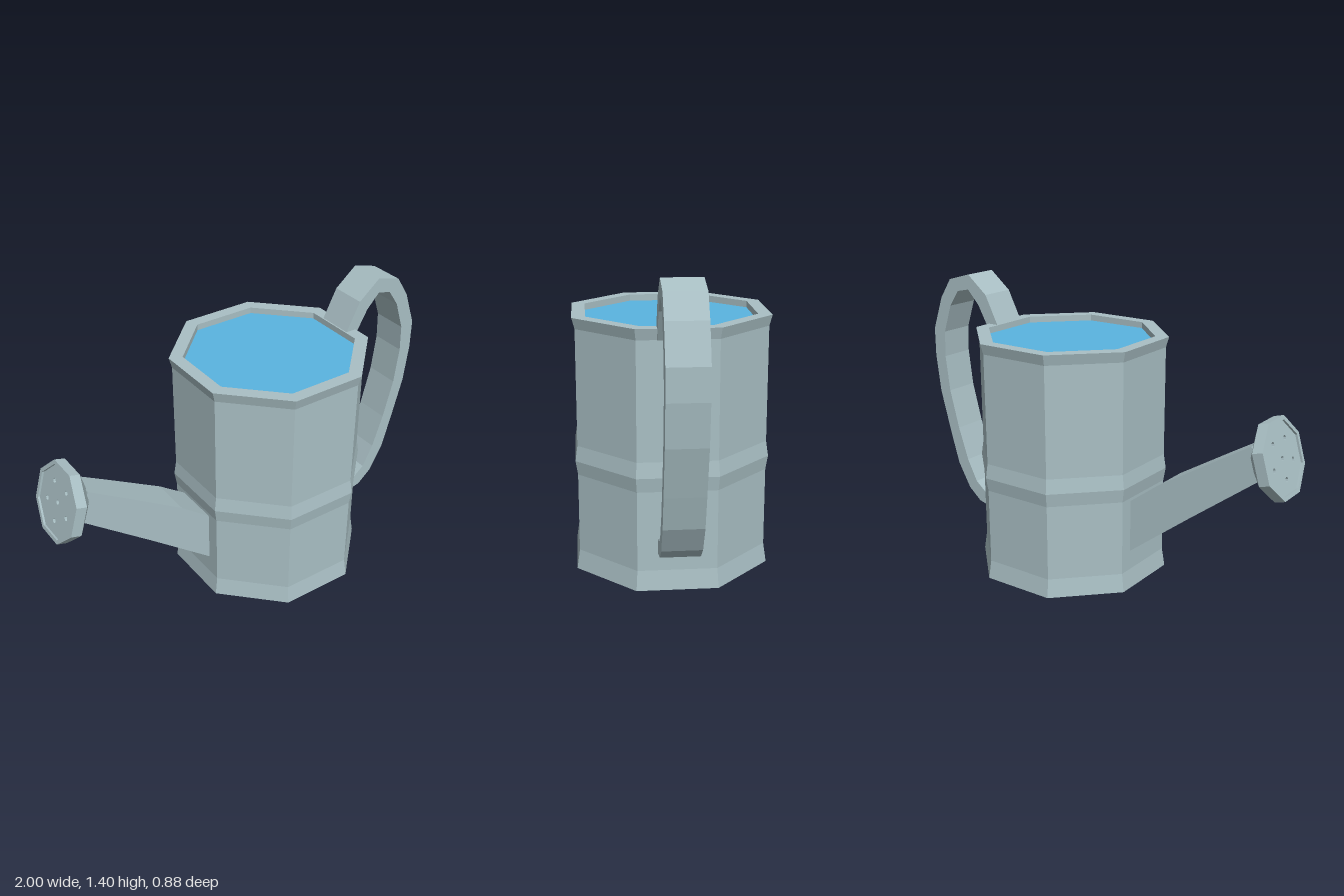
import * as THREE from 'three';

const metal = new THREE.MeshStandardMaterial({ color: 0xa9bfc4, flatShading: true, side: THREE.DoubleSide });
const waterBlue = new THREE.MeshStandardMaterial({ color: 0x5ab4e0, flatShading: true });

const toV2 = ([x, y]) => new THREE.Vector2(x, y);

// Eight-sided turned form; the profile gives [distance to the flats, height]
function octagonLathe(profile) {
  const k = 1 / Math.cos(Math.PI / 8);
  return new THREE.LatheGeometry(profile.map(([a, y]) => new THREE.Vector2(a * k, y)), 8, Math.PI / 8);
}

function octagonShape(apothem) {
  const r = apothem / Math.cos(Math.PI / 8);
  const pts = [];
  for (let i = 0; i < 8; i++) {
    const t = Math.PI / 8 + (i * Math.PI) / 4;
    pts.push(new THREE.Vector2(r * Math.cos(t), r * Math.sin(t)));
  }
  return new THREE.Shape(pts);
}

// Side profile extruded symmetrically about z = 0
function slab(points, halfWidth) {
  return new THREE.ExtrudeGeometry(new THREE.Shape(points.map(toV2)), { depth: halfWidth * 2, bevelEnabled: false })
    .translate(0, 0, -halfWidth);
}

function part(name, geometry, material = metal) {
  const mesh = new THREE.Mesh(geometry, material);
  mesh.name = name;
  return mesh;
}

export function createModel() {
  const model = new THREE.Group();
  model.name = 'wateringCan';

  // Body with flared foot, middle ridge and thick rim
  const body = part('body', octagonLathe([
    [0, 0], [0.438, 0], [0.425, 0.09], [0.425, 0.455], [0.435, 0.52], [0.425, 0.59],
    [0.425, 1.12], [0.438, 1.17], [0.378, 1.17], [0.378, 1.1],
  ]));
  body.position.x = 0.185;
  model.add(body);

  const water = part('water', new THREE.ShapeGeometry(octagonShape(0.378)).rotateX(-Math.PI / 2), waterBlue);
  water.position.set(0.185, 1.14, 0);
  model.add(water);

  // Handle: flat strip bent into a loop, outer edge then inner edge
  model.add(part('handle', slab([
    [0.57, 1.17], [0.64, 1.31], [0.75, 1.4], [0.875, 1.365], [0.94, 1.265], [0.998, 1.1], [0.998, 0.96],
    [0.975, 0.77], [0.915, 0.545], [0.87, 0.39], [0.8, 0.265], [0.73, 0.205], [0.625, 0.178],
    [0.625, 0.248], [0.695, 0.265], [0.75, 0.31], [0.805, 0.42], [0.86, 0.585], [0.91, 0.78],
    [0.932, 0.96], [0.927, 1.09], [0.88, 1.23], [0.825, 1.31], [0.755, 1.325], [0.69, 1.255], [0.615, 1.12],
  ], 0.0875)));

  // Spout: extruded side profile, narrowed towards the tip
  const spout = slab([
    [-0.22, 0.17], [-0.24, 0.185], [-0.55, 0.424], [-0.87, 0.665],
    [-0.83, 0.818], [-0.65, 0.71], [-0.38, 0.545], [-0.24, 0.44], [-0.22, 0.425],
  ], 1);
  const p = spout.attributes.position;
  for (let i = 0; i < p.count; i++) {
    p.setZ(i, p.getZ(i) * (0.11 + (p.getX(i) + 0.24) * 0.066));
  }
  spout.computeVertexNormals();
  model.add(part('spout', spout));

  // Sprinkler head, tilted at the end of the spout
  const head = new THREE.Group();
  head.name = 'sprinklerHead';
  head.position.set(-0.953, 0.77, 0);
  head.rotation.z = 1.29;
  head.add(part('sprinklerShell', octagonLathe([
    [0, -0.115], [0.08, -0.115], [0.173, -0.05], [0.173, 0], [0.155, 0], [0.155, -0.03], [0, -0.03],
  ])));

  // Perforated face: one centre hole and five around it
  const face = octagonShape(0.155);
  for (let i = 0; i < 6; i++) {
    const r = i ? 0.095 : 0;
    const t = (i * Math.PI * 2) / 5 + Math.PI;
    const hole = new THREE.Path();
    hole.absarc(r * Math.cos(t), r * Math.sin(t), 0.012, 0, Math.PI * 2, true);
    face.holes.push(hole);
  }
  const plate = new THREE.ExtrudeGeometry(face, { depth: 0.018, bevelEnabled: false, curveSegments: 4 });
  plate.rotateX(-Math.PI / 2).translate(0, -0.028, 0);
  head.add(part('sprinklerFace', plate));
  model.add(head);

  return model;
}
